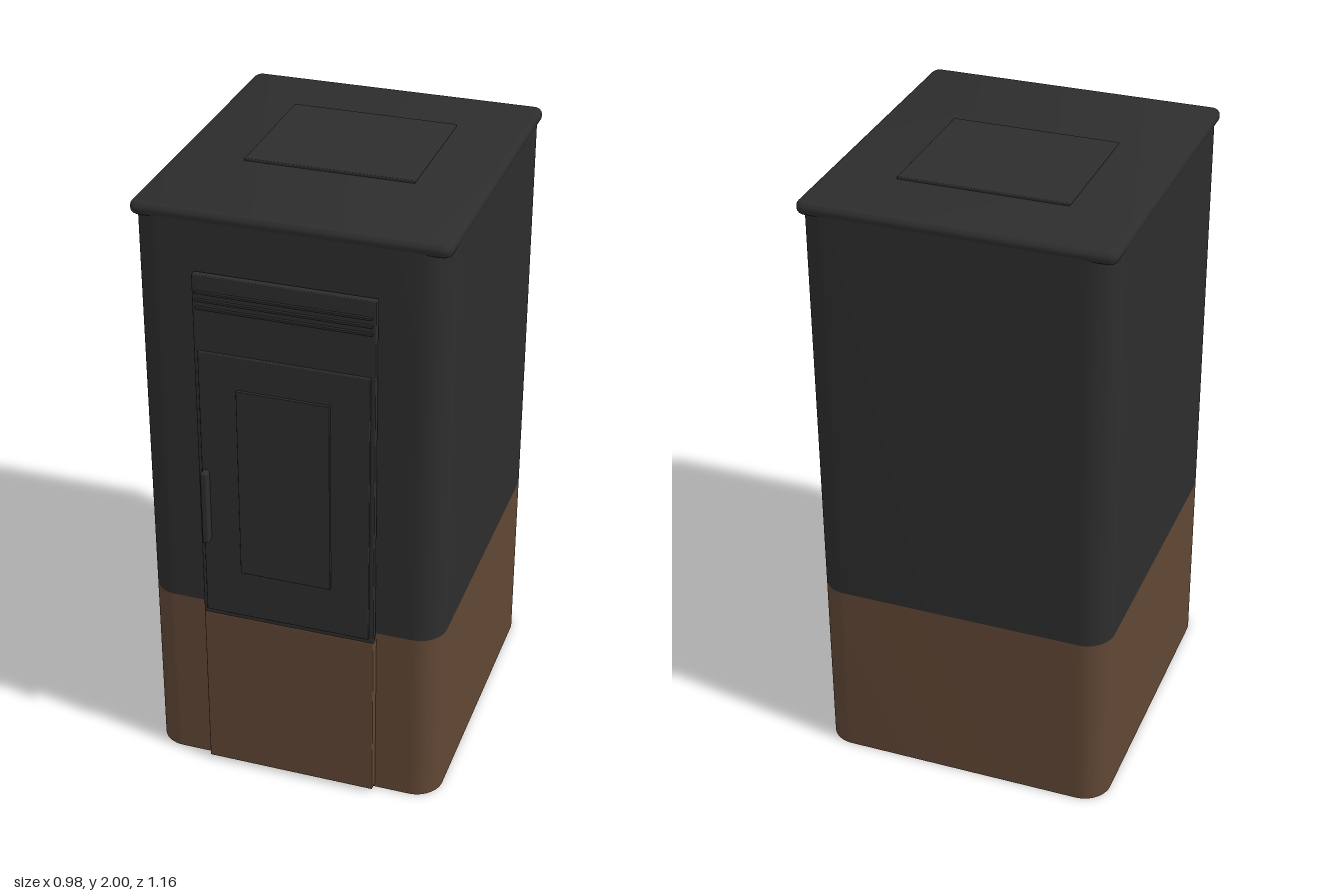
import * as THREE from 'three';
import { toCreasedNormals } from 'three/addons/utils/BufferGeometryUtils.js';
import { RoundedBoxGeometry } from 'three/addons/geometries/RoundedBoxGeometry.js';

const charcoal = new THREE.MeshStandardMaterial({ name: 'charcoal steel', color: 0x2d2d2d });
const brown = new THREE.MeshStandardMaterial({ name: 'brown enamel', color: 0x604634 });

// Rounded rectangle footprint extruded upward from y0 to y1
function slab(name, material, [x0, x1], [y0, y1], [z0, z1], radius, bevel = 0) {
  const ax = x0 + bevel, bx = x1 - bevel, ay = -z1 + bevel, by = -z0 - bevel, r = radius;
  const s = new THREE.Shape();
  s.moveTo(ax + r, ay);
  s.lineTo(bx - r, ay);
  s.absarc(bx - r, ay + r, r, -Math.PI / 2, 0);
  s.lineTo(bx, by - r);
  s.absarc(bx - r, by - r, r, 0, Math.PI / 2);
  s.lineTo(ax + r, by);
  s.absarc(ax + r, by - r, r, Math.PI / 2, Math.PI);
  s.lineTo(ax, ay + r);
  s.absarc(ax + r, ay + r, r, Math.PI, Math.PI * 1.5);
  const geometry = new THREE.ExtrudeGeometry(s, {
    depth: y1 - y0 - 2 * bevel, curveSegments: 8,
    bevelEnabled: bevel > 0, bevelSize: bevel, bevelThickness: bevel, bevelSegments: 4,
  });
  geometry.rotateX(-Math.PI / 2).translate(0, y0 + bevel, 0);
  const mesh = new THREE.Mesh(toCreasedNormals(geometry, 0.6), material);
  mesh.name = name;
  return mesh;
}

// Box with softened edges given by its limits
function panel(name, material, [x0, x1], [y0, y1], [z0, z1], radius = 0.003) {
  const mesh = new THREE.Mesh(new RoundedBoxGeometry(x1 - x0, y1 - y0, z1 - z0, 2, radius), material);
  mesh.position.set((x0 + x1) / 2, (y0 + y1) / 2, (z0 + z1) / 2);
  mesh.name = name;
  return mesh;
}

export function createModel() {
  const stove = new THREE.Group();
  stove.name = 'stove';

  // Casing in two colours
  const sides = [-0.488, 0.486], depth = [-0.577, 0.508];
  stove.add(
    slab('lowerCasing', brown, sides, [0, 0.622], depth, 0.09),
    slab('upperCasing', charcoal, sides, [0.622, 1.97], depth, 0.09),
  );

  // Top plate with rounded rim and hopper lid
  stove.add(
    slab('topPlate', charcoal, [-0.49, 0.488], [1.95, 1.992], [-0.58, 0.51], 0.012, 0.018),
    panel('hopperLid', charcoal, [-0.27, 0.267], [1.975, 2], [-0.333, 0.125]),
  );

  // Front panels
  const width = [-0.285, 0.281];
  stove.add(
    panel('lowerFrontPanel', brown, width, [0.012, 0.602], [0.5, 0.54]),
    panel('upperFrontPanel', charcoal, width, [0.602, 1.805], [0.517, 0.54]),
    panel('panelBacking', charcoal, [-0.28, 0.276], [0.604, 1.57], [0.5, 0.525]),
  );

  // Air vent slats
  for (const y of [1.699, 1.725, 1.75]) {
    stove.add(panel('ventSlat', charcoal, [-0.275, 0.271], [y - 0.004, y + 0.004], [0.535, 0.549], 0.002));
  }

  // Fire door with window and handle
  stove.add(
    panel('fireDoor', charcoal, [-0.271, 0.267], [0.622, 1.556], [0.53, 0.55]),
    panel('doorWindow', charcoal, [-0.149, 0.145], [0.792, 1.446], [0.545, 0.56], 0.002),
    panel('doorHandle', charcoal, [-0.266, -0.246], [0.895, 1.147], [0.545, 0.58], 0.004),
  );

  return stove;
}
